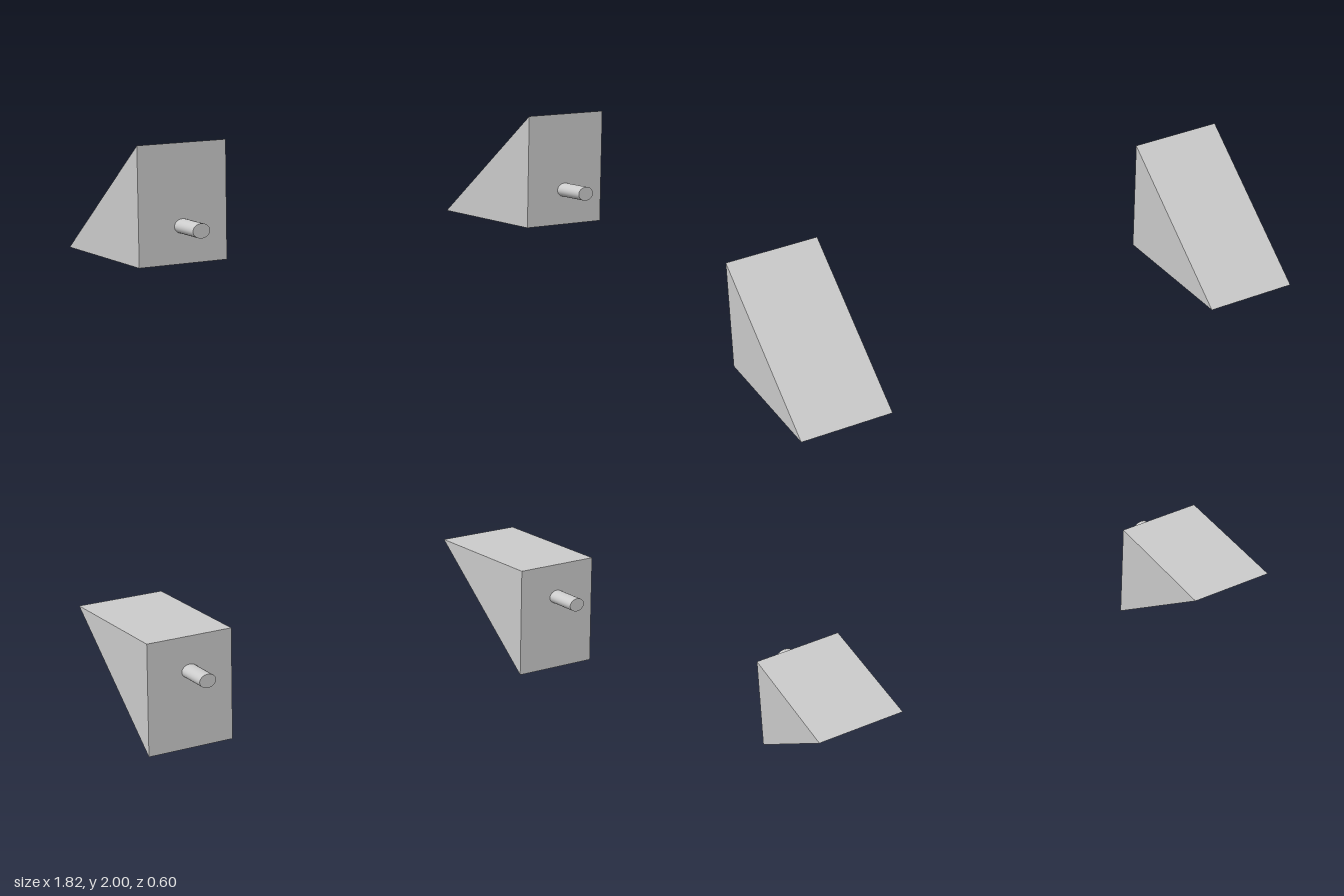
import * as THREE from 'three';

const material = new THREE.MeshStandardMaterial({ color: 0xcccccc });
const flatMaterial = new THREE.MeshStandardMaterial({ color: 0xcccccc, flatShading: true });

const WIDTH = 0.315, CENTRE_X = 0.752;
const FRONT_Z = 0.183, BACK_Z = -0.302, PEG_END_Z = 0.302;

// Triangular prism: side profile given as [z, y], extruded across x
function wedgeGeometry(profile) {
  const shape = new THREE.Shape(profile.map(([z, y]) => new THREE.Vector2(z, y)));
  const geometry = new THREE.ExtrudeGeometry(shape, { depth: WIDTH, bevelEnabled: false });
  geometry.translate(0, 0, -WIDTH / 2);
  geometry.rotateY(-Math.PI / 2);
  return geometry;
}

// Slightly flattened round peg pointing forward
function pegGeometry() {
  const geometry = new THREE.CylinderGeometry(1, 1, PEG_END_Z - FRONT_Z, 32);
  geometry.rotateX(Math.PI / 2);
  geometry.scale(0.0305, 0.0235, 1);
  return geometry;
}

export function createModel() {
  const model = new THREE.Group();
  model.name = 'cornerWedges';

  // Upper wedges slope down to the back; lower ones mirror them
  const rows = [
    { name: 'upper', pegY: 1.737, profile: [[FRONT_Z, 1.617], [FRONT_Z, 2], [BACK_Z, 1.617]] },
    { name: 'lower', pegY: 0.267, profile: [[FRONT_Z, 0], [FRONT_Z, 0.387], [BACK_Z, 0.387]] },
  ];

  for (const row of rows) {
    for (const side of [1, -1]) {
      const corner = new THREE.Group();
      corner.name = row.name + (side > 0 ? 'Left' : 'Right') + 'Corner';
      corner.position.x = side * CENTRE_X;

      const wedge = new THREE.Mesh(wedgeGeometry(row.profile), flatMaterial);
      wedge.name = 'wedge';

      const peg = new THREE.Mesh(pegGeometry(), material);
      peg.name = 'peg';
      peg.position.set(0, row.pegY, (FRONT_Z + PEG_END_Z) / 2);

      corner.add(wedge, peg);
      model.add(corner);
    }
  }
  return model;
}
